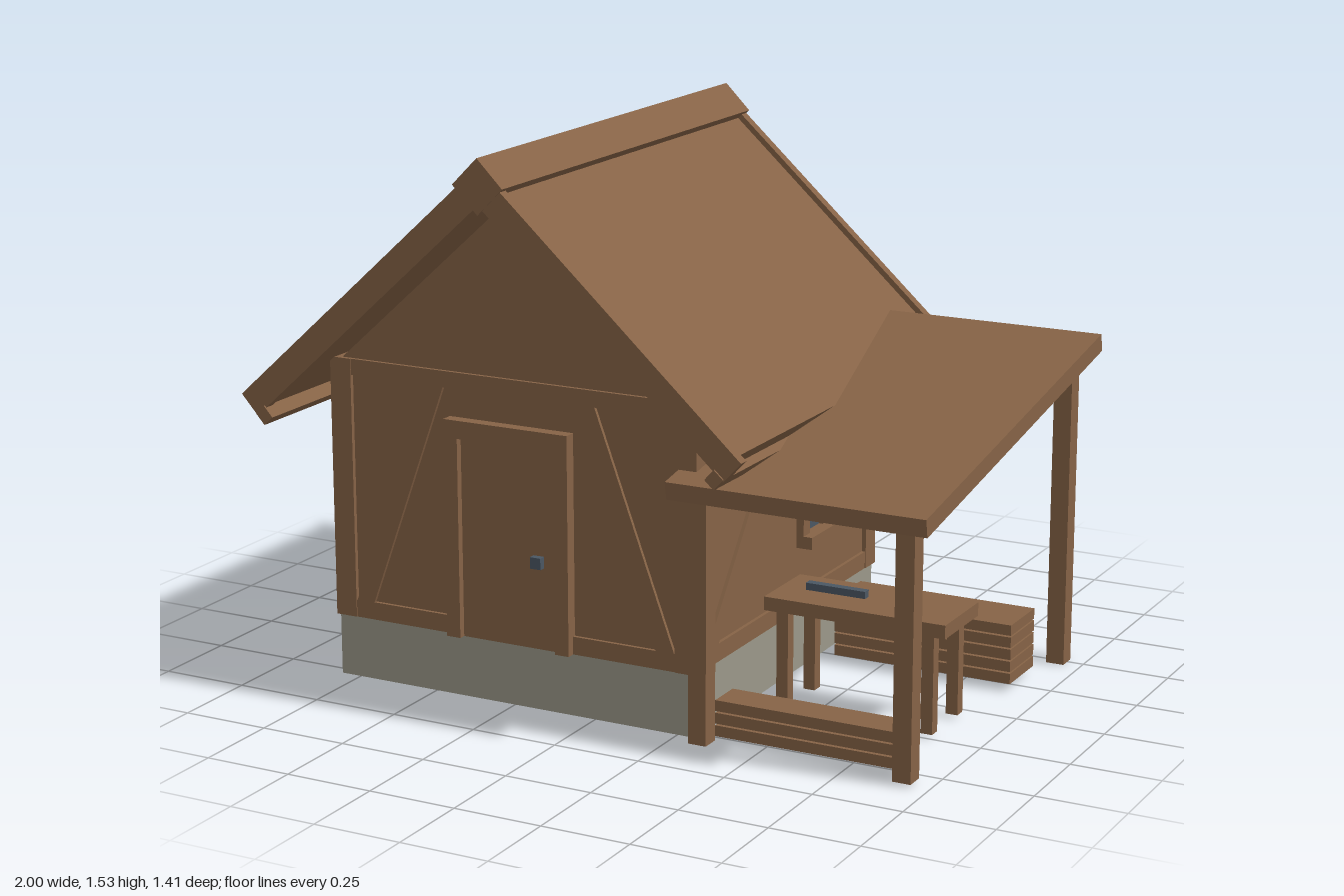
import * as THREE from 'three';

const mat = (name, color) => {
  const m = new THREE.MeshStandardMaterial({ color });
  m.name = name;
  return m;
};

export function createModel() {
  const wood = mat('brown wood', 0x866346);
  const stone = mat('grey stone', 0x9b9889);
  const glass = mat('slate blue', 0x4b5763);

  const root = new THREE.Group();
  root.name = 'cabin';
  const group = (name, parent = root) => {
    const g = new THREE.Group();
    g.name = name;
    parent.add(g);
    return g;
  };
  // box given by its extents along each axis
  const box = (parent, name, [x0, x1], [y0, y1], [z0, z1], m = wood) => {
    const mesh = new THREE.Mesh(new THREE.BoxGeometry(x1 - x0, y1 - y0, z1 - z0), m);
    mesh.position.set((x0 + x1) / 2, (y0 + y1) / 2, (z0 + z1) / 2);
    mesh.name = name;
    parent.add(mesh);
    return mesh;
  };
  // flat polygon extruded along z
  const prism = (parent, name, pts, z0, z1) => {
    const shape = new THREE.Shape(pts.map(([x, y]) => new THREE.Vector2(x, y)));
    const geo = new THREE.ExtrudeGeometry(shape, { depth: z1 - z0, bevelEnabled: false });
    const mesh = new THREE.Mesh(geo, wood);
    mesh.position.z = z0;
    mesh.name = name;
    parent.add(mesh);
  };

  const house = group('house');
  house.position.x = -0.24;

  // foundation, wall core and gables
  box(house, 'foundation', [-0.555, 0.555], [0.01, 0.185], [-0.555, 0.555], stone);
  box(house, 'wallCore', [-0.55, 0.55], [0.185, 0.915], [-0.55, 0.55]);
  prism(house, 'gable', [[-0.535, 0.915], [0.535, 0.915], [0, 1.398]], -0.55, 0.55);

  // corner posts
  for (const x of [-1, 1]) for (const z of [-1, 1]) {
    const p = box(house, 'cornerPost', [-0.0325, 0.0325], [0.185, 0.92], [-0.0325, 0.0325]);
    p.position.x = x * 0.53;
    p.position.z = z * 0.53;
  }

  // window centred at cx on a wall that faces local +z
  const addWindow = (wall, cx) => {
    const w = group('window', wall);
    w.position.x = cx;
    for (const s of [-1, 1]) {
      box(w, 'windowJamb', s < 0 ? [-0.15, -0.11] : [0.11, 0.15], [0.4, 0.69], [0.54, 0.572]);
    }
    box(w, 'windowHead', [-0.11, 0.11], [0.64, 0.69], [0.54, 0.572]);
    box(w, 'windowSill', [-0.15, 0.15], [0.365, 0.4], [0.54, 0.598]);
    box(w, 'mullion', [-0.0125, 0.0125], [0.4, 0.64], [0.54, 0.566]);
    box(w, 'windowPane', [-0.11, 0.11], [0.4, 0.64], [0.549, 0.554], glass);
  };

  // timber framing of each wall
  const steep = [[-0.495, 0.235], [-0.44, 0.235], [-0.205, 0.875], [-0.26, 0.875]];
  const long = [[-0.495, 0.235], [-0.43, 0.235], [0.068, 0.875], [0.003, 0.875]];
  const mirrored = steep.map(([x, y]) => [-x, y]).reverse();
  const makeWall = (name, angle, braces) => {
    const wall = group(name, house);
    wall.rotation.y = angle;
    box(wall, 'topBeam', [-0.5, 0.5], [0.875, 0.92], [0.52, 0.56]);
    box(wall, 'sillBeam', [-0.5, 0.5], [0.185, 0.235], [0.52, 0.56]);
    braces.forEach((b) => prism(wall, 'brace', b, 0.53, 0.56));
    return wall;
  };
  const front = makeWall('frontWall', 0, [steep, mirrored]);
  addWindow(makeWall('backWall', Math.PI, [steep, mirrored]), 0);
  addWindow(makeWall('rightSideWall', -Math.PI / 2, [steep, mirrored]), 0);
  addWindow(makeWall('porchSideWall', Math.PI / 2, [long]), 0.21);

  // door
  const door = group('door', front);
  box(door, 'doorJamb', [-0.19, -0.148], [0.185, 0.795], [0.54, 0.585]);
  box(door, 'doorJamb', [0.148, 0.19], [0.185, 0.795], [0.54, 0.585]);
  box(door, 'doorHead', [-0.148, 0.148], [0.745, 0.795], [0.54, 0.585]);
  box(door, 'doorLeaf', [-0.148, 0.148], [0.185, 0.745], [0.54, 0.565]);
  box(door, 'doorKnob', [0.074, 0.106], [0.415, 0.447], [0.56, 0.585], glass);

  // main roof: each slope is built along local x from the ridge
  const pitch = Math.atan(0.907);
  const roof = group('mainRoof', house);
  roof.position.y = 1.512;
  for (const side of [0, Math.PI]) {
    const turn = group('roofSide', roof);
    turn.rotation.y = side;
    const slope = group('roofSlope', turn);
    slope.rotation.z = -pitch;
    box(slope, 'roofPanel', [0, 1.0], [-0.07, -0.016], [-0.675, 0.675]);
    box(slope, 'bargeBoard', [0, 1.026], [-0.075, 0], [0.67, 0.7]);
    box(slope, 'bargeBoard', [0, 1.026], [-0.075, 0], [-0.7, -0.67]);
    box(slope, 'eaveBeam', [0.987, 1.023], [-0.108, -0.068], [-0.705, 0.705]);
  }
  const ridge = box(roof, 'ridgeCap', [-0.053, 0.053], [-0.053, 0.053], [-0.702, 0.702]);
  ridge.position.y = -0.052;
  ridge.rotation.z = Math.PI / 4;

  // porch roof and posts
  const porch = group('porch');
  const h = 0.05;
  const tilt = Math.atan(0.183);
  const slab = box(porch, 'porchRoof', [0.27, 1.0], [-h / 2, h / 2], [-0.608, 0.608]);
  slab.position.y = 0.8115;
  slab.position.z = 0.036;
  slab.rotation.x = tilt;
  box(porch, 'frontPost', [0.315, 0.367], [0.008, 0.7], [0.541, 0.595]);
  box(porch, 'frontPost', [0.9, 0.952], [0.008, 0.7], [0.541, 0.595]);
  box(porch, 'backPost', [0.9, 0.952], [0, 0.9], [-0.522, -0.468]);

  // stacked plank benches
  const bench = (name, count, z) => {
    const g = group(name, porch);
    for (let i = 0; i < count; i++) {
      const y = 0.02 + i * 0.035;
      box(g, 'benchPlank', [0.367, 0.9], [y, y + 0.03], z);
    }
  };
  bench('frontBench', 3, [0.44, 0.541]);
  bench('backBench', 5, [-0.366, -0.195]);

  // table with a small bar on top
  const table = group('table', porch);
  box(table, 'tableTop', [0.367, 0.895], [0.285, 0.323], [0.033, 0.256]);
  for (const x of [0.4, 0.825]) for (const z of [0.041, 0.211]) {
    box(table, 'tableLeg', [x, x + 0.034], [0.01, 0.285], [z, z + 0.034]);
  }
  box(table, 'tableBar', [0.45, 0.625], [0.33, 0.35], [0.146, 0.17], glass);

  return root;
}
